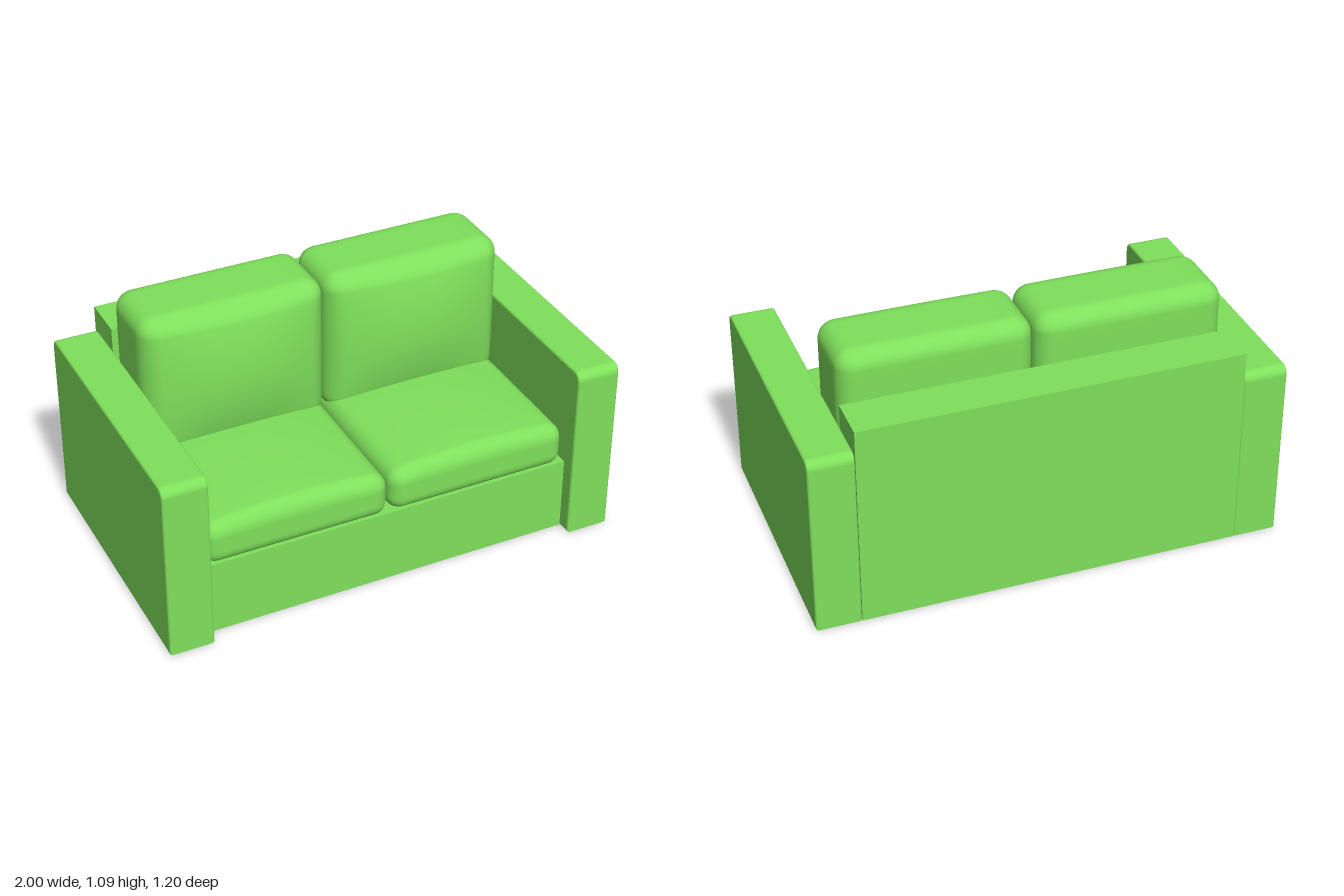
import * as THREE from 'three';
import { mergeVertices } from 'three/addons/utils/BufferGeometryUtils.js';

const fabric = new THREE.MeshStandardMaterial({ color: 0x7fe05b });

function addMesh(parent, name, geometry) {
  const mesh = new THREE.Mesh(geometry, fabric);
  mesh.name = name;
  parent.add(mesh);
  return mesh;
}

// Rounded box between two corners; bulge(p, u, v, w) then pushes the vertices,
// with u, v, w running from -1 to 1 across the box.
function cushionGeometry(min, max, radius, bulge) {
  const box = new THREE.BoxGeometry(2, 2, 2, 20, 20, 20);
  box.deleteAttribute('uv');
  box.deleteAttribute('normal');
  const geometry = mergeVertices(box);
  const pos = geometry.attributes.position;
  const centre = min.clone().add(max).multiplyScalar(0.5);
  const half = max.clone().sub(min).multiplyScalar(0.5);
  const p = new THREE.Vector3(), inner = new THREE.Vector3(), corner = new THREE.Vector3();
  for (let i = 0; i < pos.count; i++) {
    p.fromBufferAttribute(pos, i);
    for (const axis of ['x', 'y', 'z']) {
      const t = Math.abs(p[axis]), s = Math.sign(p[axis]);
      inner[axis] = s * Math.min(t / 0.6, 1) * (half[axis] - radius);
      corner[axis] = s * Math.tan(Math.max(t - 0.6, 0) / 0.4 * Math.PI / 4);
    }
    p.copy(inner).addScaledVector(corner.normalize(), radius);
    const [u, v, w] = [p.x / half.x, p.y / half.y, p.z / half.z];
    p.add(centre);
    bulge(p, u, v, w);
    pos.setXYZ(i, p.x, p.y, p.z);
  }
  geometry.computeVertexNormals();
  return geometry;
}

// Extrudes a side profile drawn in (-z, y) along x
function extrudeAlongX(shape, x0, x1, bevel) {
  const geometry = new THREE.ExtrudeGeometry(shape, {
    depth: x1 - x0 - 2 * bevel, curveSegments: 8,
    bevelEnabled: bevel > 0, bevelThickness: bevel, bevelSize: bevel, bevelOffset: -bevel, bevelSegments: 3,
  });
  geometry.rotateY(Math.PI / 2);
  geometry.translate(x0 + bevel, 0, 0);
  return geometry;
}

export function createModel() {
  const sofa = new THREE.Group();
  sofa.name = 'sofa';

  // Base and backrest share one L-shaped profile
  const frame = new THREE.Shape([
    [-0.535, 0], [0.6, 0], [0.6, 0.893], [0.4, 0.893], [0.4, 0.33], [-0.535, 0.33],
  ].map(([a, b]) => new THREE.Vector2(a, b)));
  addMesh(sofa, 'baseAndBackrest', extrudeAlongX(frame, -0.81, 0.81, 0));

  // Armrest profile, rounded at the two top corners
  const r = 0.04, h = 0.793, d = 0.6;
  const arm = new THREE.Shape();
  arm.moveTo(-d, 0);
  arm.lineTo(d, 0);
  arm.lineTo(d, h - r);
  arm.absarc(d - r, h - r, r, 0, Math.PI / 2, false);
  arm.lineTo(-d + r, h);
  arm.absarc(-d + r, h - r, r, Math.PI / 2, Math.PI, false);
  arm.lineTo(-d, 0);

  for (const [side, s] of [['left', 1], ['right', -1]]) {
    const x0 = s > 0 ? 0.81 : -1;
    addMesh(sofa, side + 'Armrest', extrudeAlongX(arm, x0, x0 + 0.19, 0.01));

    const left = s > 0 ? 0.003 : -0.806, right = left + 0.803;

    // Seat cushion with a crowned top
    addMesh(sofa, side + 'SeatCushion', cushionGeometry(
      new THREE.Vector3(left, 0.31, -0.395), new THREE.Vector3(right, 0.5, 0.532), 0.06,
      (p, u, v, w) => {
        if (v > 0) p.y += 0.035 * v * (1 - u * u) * (1 - 0.4 * w * w);
      }));

    // Back cushion with a puffed front
    addMesh(sofa, side + 'BackCushion', cushionGeometry(
      new THREE.Vector3(left, 0.44, -0.395), new THREE.Vector3(right, 1.094, -0.05), 0.075,
      (p, u, v, w) => {
        if (w > 0) p.z += 0.06 * w * (1 - u * u) * (1 - v * v);
      }));
  }
  return sofa;
}
